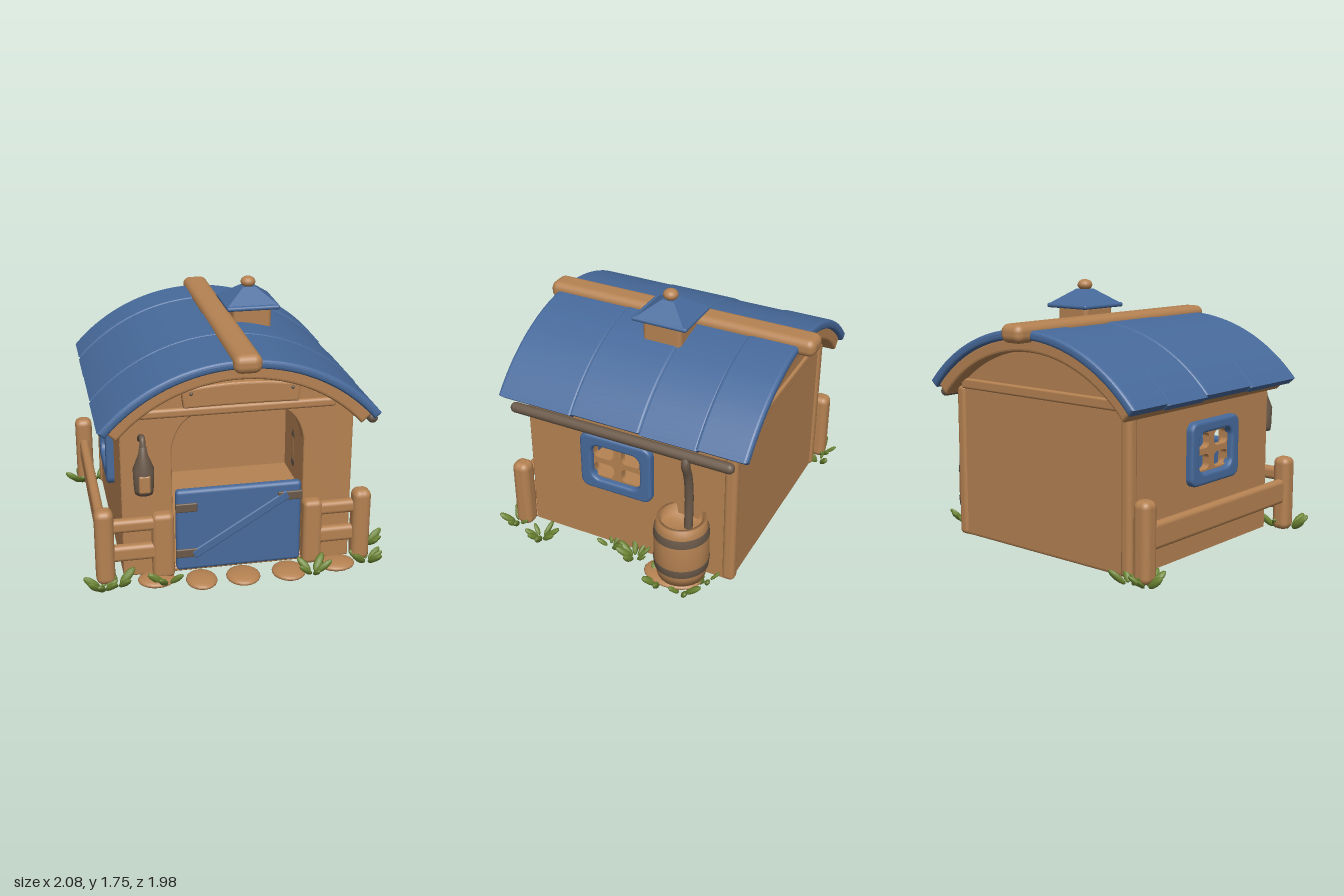
import * as THREE from 'three';
import { RoundedBoxGeometry } from 'three/addons/geometries/RoundedBoxGeometry.js';

const material = (name, color) => {
  const m = new THREE.MeshStandardMaterial({ color });
  m.name = name;
  return m;
};

export function createModel() {
  const wood = material('wood', 0xb58252);
  const blue = material('blue paint', 0x476a9b);
  const iron = material('dark iron', 0x695848);
  const green = material('grass', 0x6b8432);

  const root = new THREE.Group();
  root.name = 'hut';
  const CX = -0.04; // centre line of the house
  const CY = 0.332; // centre height of the roof arc

  const add = (name, geo, mat, x = 0, y = 0, z = 0, parent = root) => {
    const m = new THREE.Mesh(geo, mat);
    m.name = name;
    m.position.set(x, y, z);
    parent.add(m);
    return m;
  };
  // Rounded box given by its limits
  const box = (name, mat, x0, x1, y0, y1, z0, z1, r = 0.02) =>
    add(name, new RoundedBoxGeometry(x1 - x0, y1 - y0, z1 - z0, 3, r), mat,
      (x0 + x1) / 2, (y0 + y1) / 2, (z0 + z1) / 2);
  // Extrusion from z0 to z1, bevel included
  const slab = (shape, z0, z1, bevel = 0) => {
    const g = new THREE.ExtrudeGeometry(shape, {
      depth: z1 - z0 - 2 * bevel, bevelEnabled: bevel > 0, bevelSize: bevel,
      bevelOffset: -bevel, bevelThickness: bevel, bevelSegments: 3, curveSegments: 32,
    });
    return g.translate(0, 0, z0 + bevel);
  };
  const tube = (name, mat, pts, r) => add(name, new THREE.TubeGeometry(
    new THREE.CatmullRomCurve3(pts.map((p) => new THREE.Vector3(...p))), 32, r, 12), mat);
  const arcBand = (rOut, rIn, a) => {
    const s = new THREE.Shape();
    s.absarc(CX, CY, rOut, Math.PI / 2 - a, Math.PI / 2 + a, false);
    s.absarc(CX, CY, rIn, Math.PI / 2 + a, Math.PI / 2 - a, true);
    return s;
  };
  const roundRect = (Type, cx, cy, w, h, r) => {
    const s = new Type();
    s.moveTo(cx - w + r, cy - h);
    s.lineTo(cx + w - r, cy - h);
    s.absarc(cx + w - r, cy - h + r, r, -Math.PI / 2, 0);
    s.absarc(cx + w - r, cy + h - r, r, 0, Math.PI / 2);
    s.absarc(cx - w + r, cy + h - r, r, Math.PI / 2, Math.PI);
    s.absarc(cx - w + r, cy - h + r, r, Math.PI, 1.5 * Math.PI);
    return s;
  };

  // End walls reach up under the arched roof
  const gable = () => {
    const s = new THREE.Shape();
    const a = Math.asin(0.74 / 1.05);
    s.moveTo(CX - 0.74, 0.05);
    s.lineTo(CX + 0.74, 0.05);
    s.absarc(CX, CY, 1.05, Math.PI / 2 - a, Math.PI / 2 + a, false);
    s.closePath();
    return s;
  };
  const front = gable();
  const doorway = new THREE.Path();
  doorway.moveTo(CX - 0.42, 0.08);
  doorway.lineTo(CX + 0.42, 0.08);
  doorway.lineTo(CX + 0.42, 0.9);
  doorway.bezierCurveTo(CX + 0.4, 1.03, CX + 0.34, 1.13, CX + 0.2, 1.14);
  doorway.lineTo(CX - 0.2, 1.14);
  doorway.bezierCurveTo(CX - 0.34, 1.13, CX - 0.4, 1.03, CX - 0.42, 0.9);
  doorway.closePath();
  front.holes.push(doorway);
  add('frontWall', slab(front, 0.61, 0.71, 0.012), wood);
  add('backWall', slab(gable(), -0.77, -0.69, 0.02), wood);
  box('floor', wood, -0.77, 0.69, 0.05, 0.1, -0.76, 0.7);
  box('frontHeader', wood, -0.66, 0.58, 1.12, 1.18, 0.69, 0.73);
  box('backBeam', wood, -0.74, 0.66, 1.06, 1.13, -0.79, -0.75, 0.015);
  for (const x of [-0.755, 0.675]) box('backCornerPost', wood, x - 0.04, x + 0.04, 0.05, 1.08, -0.785, -0.7, 0.03);

  // Side walls with framed windows
  for (const side of [1, -1]) {
    const wall = new THREE.Shape();
    wall.moveTo(-0.7, 0.05);
    wall.lineTo(0.76, 0.05);
    wall.lineTo(0.76, 1.07);
    wall.lineTo(-0.7, 1.07);
    wall.closePath();
    wall.holes.push(roundRect(THREE.Path, -0.045, 0.71, 0.19, 0.15, 0.05));
    const x0 = side > 0 ? 0.63 : -0.78;
    add('sideWall', slab(wall, x0, x0 + 0.07).rotateY(Math.PI / 2), wood);

    const frame = roundRect(THREE.Shape, -0.045, 0.71, 0.258, 0.208, 0.06);
    frame.holes.push(roundRect(THREE.Path, -0.045, 0.71, 0.175, 0.13, 0.06));
    const f0 = side > 0 ? 0.68 : -0.83;
    add('windowFrame', slab(frame, f0, f0 + 0.07, 0.02).rotateY(Math.PI / 2), blue);
    const lattice = roundRect(THREE.Shape, -0.045, 0.71, 0.195, 0.15, 0.05);
    for (const u of [-1, 1]) for (const v of [-1, 1])
      lattice.holes.push(roundRect(THREE.Path, -0.045 + u * 0.1, 0.71 + v * 0.07, 0.073, 0.05, 0.035));
    const l0 = side > 0 ? 0.66 : -0.79;
    add('windowLattice', slab(lattice, l0, l0 + 0.05).rotateY(Math.PI / 2), wood);
  }

  // Roof: wooden vault under four overlapping blue panels
  add('roofVault', slab(arcBand(1.125, 1.03, 0.84), -0.87, 0.8, 0.02), wood);
  [[-0.9, -0.56, 1.172], [-0.58, -0.17, 1.165], [-0.19, 0.31, 1.172], [0.29, 0.84, 1.168]]
    .forEach(([z0, z1, r], i) =>
      add('roofPanel', slab(arcBand(r, 1.11, 0.85 + (i % 2) * 0.008), z0, z1, 0.022), blue));
  box('ridgeBeam', wood, -0.105, 0.07, 1.425, 1.545, -1, 0.9, 0.05);

  // Chimney with a pyramid cap
  box('chimneyStack', wood, 0.06, 0.32, 1.38, 1.6, -0.21, 0.06, 0.03);
  box('chimneyBand', wood, 0.085, 0.295, 1.56, 1.61, -0.185, 0.035, 0.02);
  box('chimneyCapRim', blue, 0.01, 0.365, 1.58, 1.61, -0.27, 0.115, 0.014);
  const cap = new THREE.CylinderGeometry(0.06, 0.25, 0.1, 4, 1).rotateY(Math.PI / 4).toNonIndexed();
  cap.computeVertexNormals();
  add('chimneyCap', cap, blue, 0.188, 1.652, -0.078);
  add('chimneyKnob', new THREE.SphereGeometry(0.05, 16, 12).scale(1, 0.75, 1), wood, 0.188, 1.73, -0.078);

  // Bowed sign board above the doorway
  const sign = new THREE.Shape();
  sign.moveTo(-0.39, 1.19);
  sign.quadraticCurveTo(CX, 1.2, 0.325, 1.19);
  sign.lineTo(0.34, 1.31);
  sign.quadraticCurveTo(CX, 1.37, -0.405, 1.31);
  sign.closePath();
  add('signBoard', slab(sign, 0.7, 0.77, 0.015), wood);
  for (const x of [-0.345, 0.285])
    add('signNail', new THREE.SphereGeometry(0.012, 8, 6), iron, x, 1.285, 0.768);

  // Half door with diagonal fold and iron fittings
  box('halfDoor', blue, -0.445, 0.365, 0.075, 0.635, 0.69, 0.75, 0.025);
  const brace = add('doorBrace', new RoundedBoxGeometry(0.72, 0.06, 0.02, 2, 0.009), blue, -0.03, 0.37, 0.75);
  brace.rotation.z = 0.55;
  for (const [x0, x1, y] of [[-0.45, -0.31, 0.52], [-0.45, -0.31, 0.2], [0.21, 0.37, 0.545]])
    box('doorHinge', iron, x0, x1, y - 0.03, y + 0.03, 0.74, 0.759, 0.008);

  // Fences: two front corners and one long side
  const post = (x, z, h = 0.56) => box('fencePost', wood, x - 0.06, x + 0.06, 0.05, h, z - 0.06, z + 0.06, 0.045);
  post(-0.9, 0.75);
  post(0.76, 0.75, 0.55);
  post(-0.9, -0.77);
  box('innerPost', wood, -0.6, -0.46, 0.05, 0.5, 0.69, 0.79, 0.035);
  box('innerPost', wood, 0.375, 0.5, 0.05, 0.5, 0.69, 0.79, 0.035);
  for (const [y0, y1] of [[0.39, 0.48], [0.19, 0.3]]) {
    box('fenceRail', wood, -0.9, -0.5, y0, y1, 0.71, 0.78, 0.03);
    box('fenceRail', wood, 0.42, 0.76, y0, y1, 0.71, 0.78, 0.03);
  }
  box('sideRail', wood, -0.935, -0.87, 0.24, 0.41, -0.77, 0.75, 0.03);

  // Gutter and downpipe into the barrel
  tube('gutter', iron, [[0.82, 1.025, 0.72], [0.82, 1.025, -0.78]], 0.035);
  for (const z of [0.72, -0.78]) add('gutterEnd', new THREE.SphereGeometry(0.035, 12, 8), iron, 0.82, 1.025, z);
  tube('downpipe', iron, [[0.82, 1.03, -0.505], [0.845, 0.98, -0.505], [0.81, 0.87, -0.505],
    [0.79, 0.7, -0.505], [0.8, 0.45, -0.505]], 0.028);

  // Barrel with open top and two hoops
  const barrelR = (y) => 0.18 - 0.45 * (y - 0.32) ** 2;
  const pts = [[0, 0.1]];
  for (let i = 0; i <= 8; i++) pts.push([barrelR(0.1 + i * 0.055), 0.1 + i * 0.055]);
  pts.push([0.135, 0.54], [0.13, 0.47], [0, 0.47]);
  const lathe = (p) => new THREE.LatheGeometry(p.map(([r, y]) => new THREE.Vector2(r, y)), 32);
  add('barrel', lathe(pts), wood, 0.805, 0, -0.46);
  for (const [y0, y1] of [[0.18, 0.235], [0.42, 0.475]])
    add('barrelHoop', lathe([[barrelR(y0), y0], [barrelR(y0) + 0.006, y0],
      [barrelR(y1) + 0.006, y1], [barrelR(y1), y1]]), iron, 0.805, 0, -0.46);

  // Hanging lantern on a hook
  tube('lanternHook', iron, [[-0.655, 0.99, 0.7], [-0.655, 1.03, 0.76], [-0.655, 1.045, 0.83], [-0.655, 0.99, 0.855]], 0.018);
  const lantern = lathe([[0, 0.7], [0.055, 0.7], [0.06, 0.73], [0.065, 0.86], [0.03, 0.95], [0.022, 1.0], [0, 1.02]]);
  add('lantern', lantern, iron, -0.655, 0, 0.85);
  box('lanternPane', wood, -0.69, -0.62, 0.72, 0.835, 0.795, 0.917, 0.012);

  // Flat stepping stones
  for (const [x, z, rx, rz] of [[-0.58, 0.77, 0.12, 0.1], [-0.3, 0.83, 0.1, 0.12], [-0.03, 0.83, 0.11, 0.12],
    [0.27, 0.83, 0.11, 0.12], [0.6, 0.79, 0.12, 0.1], [0.85, -0.42, 0.13, 0.2]])
    add('steppingStone', new THREE.SphereGeometry(1, 20, 12).scale(rx, 0.032, rz), wood, x, z > 0 ? 0.045 : 0.085, z);

  // Grass tufts: leaning leaves fanned around each spot
  const blade = new THREE.SphereGeometry(1, 8, 6).scale(0.022, 0.055, 0.016).translate(0, 0.045, 0);
  [[-0.92, 0.82, 7], [-0.83, 0.79, 5], [-0.52, 0.82, 4], [0.42, 0.88, 6], [0.8, 0.8, 7], [0.87, 0.57, 7],
    [-0.93, -0.8, 7], [-0.82, -0.82, 4], [0.77, -0.1, 7], [0.74, 0.1, 4], [0.92, -0.36, 5],
    [0.93, -0.53, 5], [0.76, -0.62, 4]].forEach(([x, z, n], k) => {
    const tuft = new THREE.Group();
    tuft.name = 'grassTuft';
    tuft.position.set(x, 0.05, z);
    for (let i = 0; i < n; i++) {
      const a = i * 2.4 + k;
      const m = add('grassBlade', blade, green, Math.cos(a) * 0.03, 0, Math.sin(a) * 0.03, tuft);
      m.rotation.set(0.9 * Math.sin(a), 0, -0.9 * Math.cos(a));
      m.scale.setScalar(0.75 + 0.5 * Math.abs(Math.sin(i * 5 + k)));
    }
    root.add(tuft);
  });

  return root;
}
